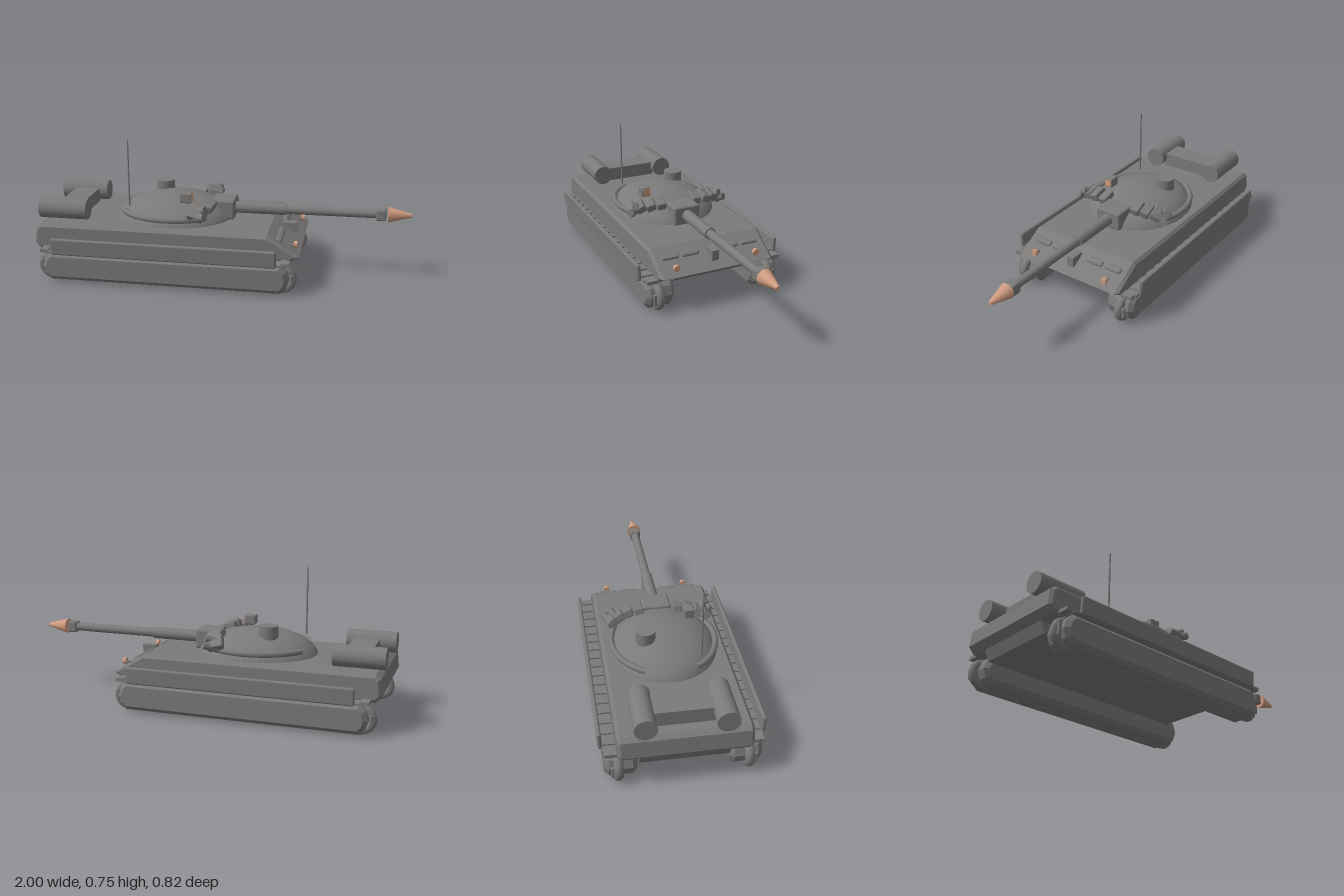
import * as THREE from 'three';
import { RoundedBoxGeometry } from 'three/addons/geometries/RoundedBoxGeometry.js';

const steel = new THREE.MeshStandardMaterial({ color: 0x7b7a78 });
steel.name = 'steel grey';
const copper = new THREE.MeshStandardMaterial({ color: 0xd09c80 });
copper.name = 'copper';

export function createModel() {
  const model = new THREE.Group();
  model.name = 'tank';

  function add(name, geometry, x = 0, y = 0, z = 0, material = steel, parent = model) {
    const mesh = new THREE.Mesh(geometry, material);
    mesh.name = name;
    mesh.position.set(x, y, z);
    parent.add(mesh);
    return mesh;
  }
  const box = (w, h, d, r = 0) => r ? new RoundedBoxGeometry(w, h, d, 2, r) : new THREE.BoxGeometry(w, h, d);
  // Cylinder along x, with its front radius first
  const rod = (front, back, length, sides = 20) =>
    new THREE.CylinderGeometry(front, back, length, sides).rotateZ(-Math.PI / 2);
  // Side profile swept across z with chamfered edges, centred on z = 0
  function slab(points, width, bevel) {
    const shape = new THREE.Shape(points.map(([x, y]) => new THREE.Vector2(x, y)));
    const geometry = new THREE.ExtrudeGeometry(shape, {
      depth: width - 2 * bevel, bevelEnabled: bevel > 0, bevelThickness: bevel,
      bevelSize: bevel, bevelOffset: -bevel, bevelSegments: 1,
    });
    return geometry.translate(0, 0, bevel - width / 2);
  }

  // Hull
  add('upperHull', slab([[-0.97, 0.165], [0.37, 0.165], [0.43, 0.2], [0.26, 0.305],
    [-0.965, 0.305], [-0.99, 0.285], [-1, 0.2]], 0.65, 0.015));
  add('lowerHull', slab([[-0.94, 0.11], [0.29, 0.11], [0.41, 0.195], [-0.98, 0.195]], 0.44, 0));

  // Glacis fittings
  for (const z of [-0.23, -0.115, 0.115, 0.23])
    add('glacisBlock', box(0.035, 0.03, 0.1, 0.012), 0.318, 0.265, z).rotation.z = -0.5;
  add('driverSight', box(0.08, 0.055, 0.04), 0.35, 0.26, 0);

  // Running gear and skirts on both sides
  for (const s of [1, -1]) {
    const z = 0.305 * s;
    add('track', slab([[-0.9, 0.012], [0.34, 0.012], [0.37, 0.04], [0.385, 0.085], [0.37, 0.135],
      [0.34, 0.165], [-0.9, 0.165], [-0.93, 0.135], [-0.945, 0.085], [-0.93, 0.04]], 0.16, 0.022), 0, 0, z);
    for (let i = 0; i < 8; i++) {
      const x = -0.902 + i * (1.245 / 7);
      add('wheel', new THREE.TorusGeometry(0.056, 0.024, 10, 24), x, 0.08, 0.318 * s);
      add('wheelHub', new THREE.CylinderGeometry(0.052, 0.052, 0.03, 20).rotateX(Math.PI / 2), x, 0.08, 0.318 * s);
    }
    for (const x of [-0.955, 0.395])
      add('wheelBolt', box(0.016, 0.06, 0.02, 0.004), x, 0.08, 0.345 * s);
    add('fender', box(1.26, 0.012, 0.18), -0.28, 0.171, 0.3 * s);
    for (let i = 0; i < 18; i++)
      add('trackLink', box(0.045, 0.018, 0.062), -0.925 + i * 0.0758, 0.176, 0.354 * s);
    add('sideSkirt', box(1.2, 0.092, 0.022, 0.01), -0.28, 0.209, 0.399 * s).rotation.x = 0.06 * s;
    add('headlight', rod(0.017, 0.017, 0.018), 0.404, 0.241, 0.23 * s, copper);
    add('headlightMount', box(0.03, 0.024, 0.016), 0.386, 0.23, 0.23 * s);
  }

  // Rear drums and the box between them
  for (const s of [1, -1])
    add('fuelDrum', rod(0.056, 0.056, 0.265, 24), -0.867, 0.36, 0.194 * s);
  add('drumCarrier', box(0.135, 0.08, 0.3), -0.847, 0.342, 0);

  // Turret dome
  const dome = [[0.325, 0.3], [0.318, 0.318], [0.29, 0.352], [0.245, 0.381], [0.18, 0.407],
    [0.09, 0.426], [0, 0.432]].map(([r, y]) => new THREE.Vector2(r, y));
  add('turret', new THREE.LatheGeometry(dome, 36), -0.285).scale.z = 0.87;

  // Curved stowage rails and the fan of armour blocks
  for (const s of [1, -1]) {
    const path = [];
    for (let i = 0; i <= 10; i++) {
      const a = 1.05 + i * 0.16;
      path.push(new THREE.Vector3(-0.285 + 0.3 * Math.cos(a), 0.345, 0.272 * Math.sin(a) * s));
    }
    add('stowageRail', new THREE.TubeGeometry(new THREE.CatmullRomCurve3(path), 24, 0.016, 8));
    const blocks = [[-0.085, 0.4, 0.105, 0.15], [-0.09, 0.4, 0.165, 0.3],
      [-0.11, 0.39, 0.215, 0.5], [-0.125, 0.375, 0.255, 0.7]];
    blocks.forEach(([x, y, z, turn], i) => {
      const mesh = add('armourBlock', box(0.085, 0.045, 0.052, 0.008), x, y, z * s);
      mesh.rotation.set((0.1 + i * 0.2) * s, -turn * 0.5 * s, -0.3, 'YXZ');
    });
    for (const [z, y] of [[0.238, 0.395], [0.268, 0.365]]) {
      const tube = add('smokeTube', rod(0.02, 0.02, 0.08, 12), -0.105, y, z * s);
      tube.rotation.set(0, -0.5 * s, 0.3);
    }
  }

  // Gun
  const gun = new THREE.Group();
  gun.name = 'gun';
  gun.position.y = 0.357;
  model.add(gun);
  add('mantlet', box(0.13, 0.105, 0.154, 0.012), -0.013, 0, 0, steel, gun);
  add('barrelSleeve', rod(0.032, 0.032, 0.28), 0.187, 0, 0, steel, gun);
  add('barrel', rod(0.023, 0.025, 0.56), 0.58, 0, 0, steel, gun);
  add('muzzle', box(0.055, 0.062, 0.062, 0.01), 0.838, 0, 0, steel, gun);
  add('muzzleCone', rod(0.01, 0.043, 0.125, 10), 0.9375, 0, 0, copper, gun);

  // Roof equipment
  add('hatch', new THREE.CylinderGeometry(0.051, 0.051, 0.07, 24), -0.37, 0.432, -0.105);
  add('sight', box(0.062, 0.052, 0.05, 0.006), -0.195, 0.441, 0.15);
  add('sightLens', box(0.006, 0.036, 0.038), -0.163, 0.441, 0.15, copper);
  add('antenna', new THREE.CylinderGeometry(0.004, 0.005, 0.365, 8), -0.51, 0.5625, 0.16);

  return model;
}
